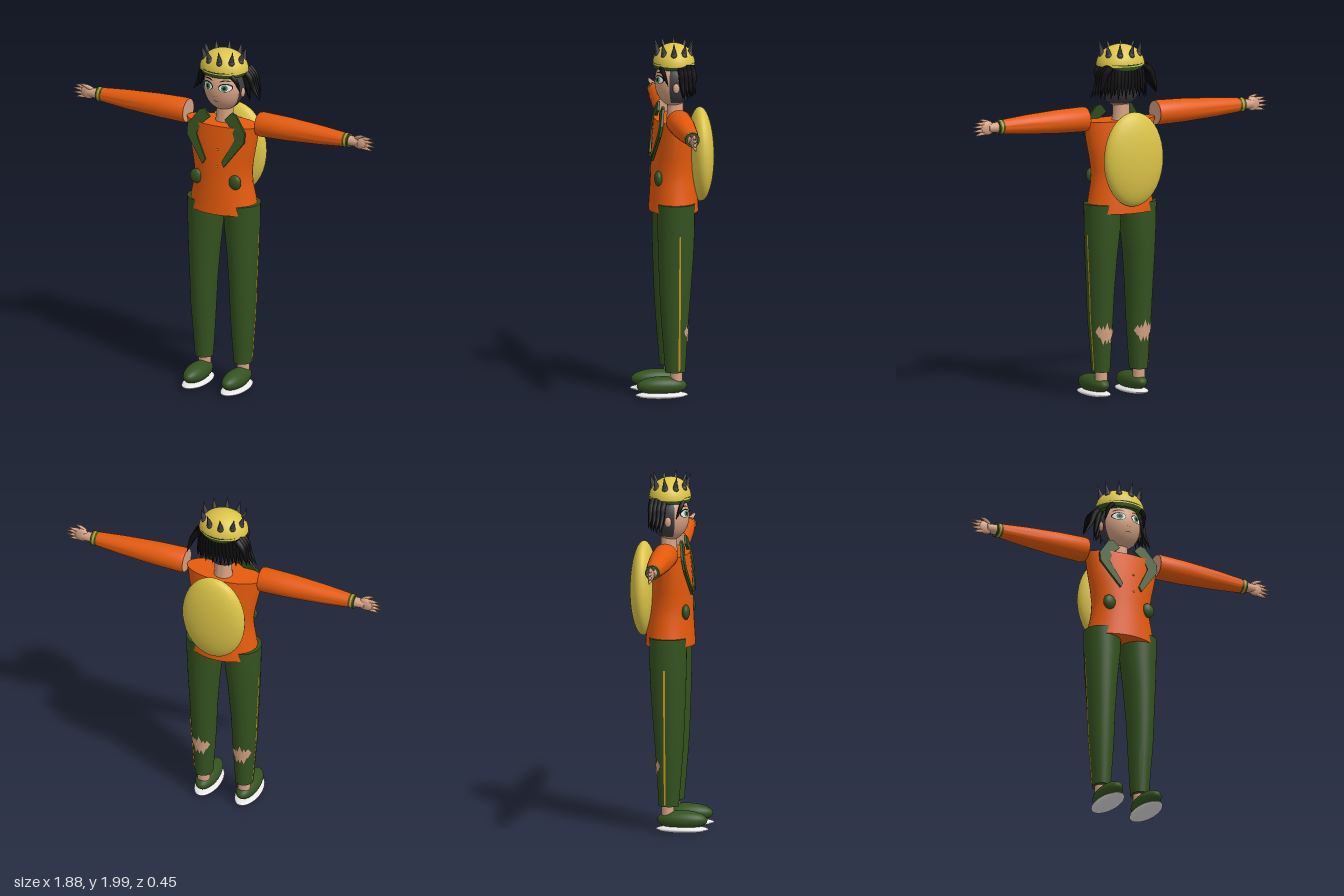
import * as THREE from 'three';
import { toCreasedNormals } from 'three/addons/utils/BufferGeometryUtils.js';

const mat = (name, color, side = THREE.FrontSide) => {
  const m = new THREE.MeshStandardMaterial({ color, side });
  m.name = name;
  return m;
};
const V = (x, y, z) => new THREE.Vector3(x, y, z);

// Interpolates sections of [y, centreX, centreZ, radiusX, radiusZ]
function sectionAt(sections, y) {
  let i = 0;
  while (i < sections.length - 2 && y > sections[i + 1][0]) i++;
  const a = sections[i], b = sections[i + 1];
  const t = THREE.MathUtils.clamp((y - a[0]) / (b[0] - a[0]), 0, 1);
  return a.map((v, k) => v + (b[k] - v) * t);
}

// Moves each vertex of a geometry by a rule
function warp(geo, rule) {
  const p = geo.attributes.position;
  for (let i = 0; i < p.count; i++) p.setXYZ(i, ...rule(p.getX(i), p.getY(i), p.getZ(i)));
  geo.computeVertexNormals();
  return geo;
}

// Closed elliptical body through the sections
function loft(sections) {
  const n = sections.length - 1;
  const geo = warp(new THREE.CylinderGeometry(1, 1, 1, 36, n), (x, y, z) => {
    const s = sections[Math.round((y + 0.5) * n)];
    return [s[1] + x * s[3], s[0], s[2] + z * s[4]];
  });
  return toCreasedNormals(geo, 0.8);
}

// Tube that narrows to a point
function lock(points, radius) {
  const curve = new THREE.CatmullRomCurve3(points), seg = 8, rad = 6;
  const geo = new THREE.TubeGeometry(curve, seg, radius, rad);
  const p = geo.attributes.position, v = V();
  for (let i = 0; i <= seg; i++) {
    const c = curve.getPointAt(i / seg), k = 1 - Math.pow(i / seg, 2) * 0.97;
    for (let j = 0; j <= rad; j++) {
      const id = i * (rad + 1) + j;
      v.fromBufferAttribute(p, id).sub(c).multiplyScalar(k).add(c);
      p.setXYZ(id, v.x, v.y, v.z);
    }
  }
  return geo;
}

export function createModel() {
  const D = THREE.DoubleSide;
  const orange = mat('jacketOrange', 0xe55a0c), green = mat('clothGreen', 0x34521f, D);
  const yellow = mat('shellYellow', 0xdcc548), black = mat('hairBlack', 0x0d0d0f, D);
  const grey = mat('spikeGrey', 0x3c3c42, D), skin = mat('skin', 0xd5a283, D);
  const white = mat('white', 0xececec), gold = mat('trimGold', 0xc9981c, D);
  const iris = mat('irisGreen', 0x47805a);

  const model = new THREE.Group();
  model.name = 'figure';
  const add = (parent, name, geo, m, x = 0, y = 0, z = 0) => {
    const mesh = new THREE.Mesh(geo, m);
    mesh.name = name;
    mesh.position.set(x, y, z);
    parent.add(mesh);
    return mesh;
  };
  const ball = (parent, name, m, pos, size) => {
    const mesh = add(parent, name, new THREE.SphereGeometry(1, 32, 20), m, ...pos);
    mesh.scale.set(...size);
    return mesh;
  };

  // Jacket, neck and shell on the back
  add(model, 'jacket', loft([
    [1.04, 0, 0, 0.203, 0.138], [1.1, 0, 0, 0.193, 0.134], [1.2, 0, 0.003, 0.173, 0.125],
    [1.27, 0, 0.005, 0.17, 0.12], [1.35, 0, 0.008, 0.183, 0.115], [1.45, 0, 0.01, 0.205, 0.107],
    [1.55, 0, 0.01, 0.22, 0.095]]), orange);
  add(model, 'neck', loft([[1.52, 0, -0.01, 0.058, 0.052], [1.58, 0, -0.01, 0.048, 0.045],
    [1.68, 0, -0.01, 0.048, 0.045]]), skin);
  ball(model, 'shell', yellow, [0, 1.345, -0.15], [0.184, 0.263, 0.074]);
  for (const y of [1.2, 1.32, 1.42]) ball(model, 'button', gold, [0.02, y, 0.121], [0.006, 0.006, 0.005]);

  const lapel = new THREE.Shape([[0.114, 1.62], [0.177, 1.53], [0.177, 1.475], [0.066, 1.326],
    [0.05, 1.353], [0.119, 1.485], [0.093, 1.544], [0.045, 1.586], [0.085, 1.63]]
    .map(([x, y]) => new THREE.Vector2(x, y)));
  const legSections = [
    [0.15, 0.12, 0.005, 0.05, 0.056], [0.3, 0.12, 0.007, 0.06, 0.066], [0.45, 0.122, 0.008, 0.07, 0.077],
    [0.6, 0.122, 0.006, 0.075, 0.087], [0.8, 0.119, 0.002, 0.088, 0.098],
    [0.95, 0.113, 0, 0.1, 0.103], [1.09, 0.111, 0, 0.105, 0.104]];

  for (const s of [1, -1]) {
    const side = new THREE.Group();
    side.name = s > 0 ? 'leftSide' : 'rightSide';
    side.scale.x = s;
    model.add(side);

    // Lapel and pocket
    const lapelGeo = new THREE.ExtrudeGeometry(lapel, { depth: 0.014, bevelEnabled: false });
    add(side, 'lapel', toCreasedNormals(warp(lapelGeo,
      (x, y, z) => [x, y, z + 0.119 - 0.19 * (y - 1.33)]), 0.5), green);
    ball(side, 'pocket', green, [0.12, 1.235, 0.1], [0.037, 0.042, 0.022]);

    // Trouser leg with stripe and torn patches
    add(side, 'trouserLeg', loft(legSections), green);
    add(side, 'sideStripe', warp(new THREE.PlaneGeometry(0.01, 0.76, 1, 20), (x, y) => {
      const q = sectionAt(legSections, y + 0.54);
      return [q[1] + q[3] + 0.002, y + 0.54, -0.01 - x];
    }), gold);
    [[-0.65, 0.38, 0.035], [-0.33, 0.36, 0.055], [0, 0.37, 0.062], [0.33, 0.355, 0.05], [0.62, 0.37, 0.03]]
      .forEach(([a, cy, h]) => add(side, 'tornPatch', warp(new THREE.CircleGeometry(1, 4), (u, v) => {
        const y = cy + v * h, q = sectionAt(legSections, y), t = a + u * 0.3;
        return [q[1] - Math.sin(t) * (q[3] + 0.004), y, q[2] - Math.cos(t) * (q[4] + 0.004)];
      }), skin));

    // Ankle and shoe
    add(side, 'ankle', new THREE.CylinderGeometry(0.035, 0.035, 0.1, 20), skin, 0.12, 0.12, 0);
    ball(side, 'shoe', green, [0.12, 0.074, 0.08], [0.06, 0.052, 0.14]);
    ball(side, 'sole', white, [0.12, 0.022, 0.08], [0.068, 0.021, 0.146]);

    // Arm, built upright and laid along x
    const arm = new THREE.Group();
    arm.name = 'arm';
    arm.position.y = 1.567;
    side.add(arm);
    add(arm, 'sleeve', loft([[0.222, 0, 0, 0.066, 0.068], [0.235, 0, 0, 0.069, 0.072],
      [0.4, 0, 0, 0.065, 0.067], [0.6, 0, 0, 0.053, 0.054], [0.765, 0, 0, 0.038, 0.038]])
      .rotateZ(-Math.PI / 2), orange);
    add(arm, 'armhole', new THREE.CircleGeometry(0.064, 32).rotateY(-Math.PI / 2), skin, 0.22);
    [[0.755, green], [0.766, gold], [0.777, green]].forEach(([x, m]) =>
      add(arm, 'cuffBand', new THREE.CylinderGeometry(0.04, 0.04, 0.011, 28).rotateZ(Math.PI / 2), m, x));

    // Hand with fanned fingers
    add(arm, 'wrist', new THREE.CylinderGeometry(0.024, 0.03, 0.07, 16).rotateZ(-Math.PI / 2), skin, 0.805);
    ball(arm, 'palm', skin, [0.844, 0, 0], [0.044, 0.039, 0.018]);
    [[-0.026, -0.042, 0.92], [-0.009, -0.016, 0.938], [0.009, 0.01, 0.94], [0.025, 0.032, 0.925]]
      .forEach(([y0, y1, x]) => add(arm, 'finger',
        lock([V(0.86, y0, 0), V(0.9, (y0 + y1) / 2, 0), V(x, y1, 0)], 0.011), skin));
    add(arm, 'thumb', lock([V(0.825, 0.025, 0.005), V(0.855, 0.04, 0.015), V(0.89, 0.046, 0.018)], 0.012), skin);
  }

  // Head, skull cap and ears
  const head = new THREE.Group();
  head.name = 'head';
  model.add(head);
  const HY = 1.755, HX = 0.114, HH = 0.137, HZ = 0.103;
  ball(head, 'face', skin, [0, HY, 0], [HX, HH, HZ]);
  add(head, 'skullCap', new THREE.SphereGeometry(1, 32, 20, Math.PI - 0.35, Math.PI + 0.7, 0, 2.5), grey, 0, HY, 0)
    .scale.set(HX + 0.005, HH, HZ + 0.004);

  // Flat face details wrapped over the head surface
  const onFace = (name, m, cx, cy, rx, ry, lift, bend = 0) =>
    add(head, name, warp(new THREE.RingGeometry(0.001, 1, 24, 4), (u, v) => {
      const x = cx + u * rx, y = cy + v * ry - bend * u * u;
      const k = 1 - (x / HX) ** 2 - ((y - HY) / HH) ** 2;
      return [x, y, HZ * Math.sqrt(Math.max(k, 0)) + lift];
    }), m);
  for (const s of [1, -1]) {
    ball(head, 'ear', skin, [s * 0.117, 1.735, 0.0], [0.012, 0.028, 0.018]);
    onFace('eyeOutline', black, s * 0.053, 1.777, 0.037, 0.024, 0.001);
    onFace('eyeWhite', white, s * 0.053, 1.775, 0.033, 0.02, 0.0025);
    onFace('iris', iris, s * 0.051, 1.775, 0.017, 0.018, 0.004);
    onFace('pupil', black, s * 0.051, 1.775, 0.008, 0.009, 0.0055);
    onFace('eyebrow', black, s * 0.052, 1.816, 0.03, 0.0035, 0.002, 0.008);
    onFace('nostril', grey, s * 0.008, 1.722, 0.003, 0.002, 0.002);
    // Loose locks beside the face
    add(head, 'frontLock', lock([V(s * 0.085, 1.85, 0.08), V(s * 0.11, 1.82, 0.07), V(s * 0.122, 1.75, 0.045)], 0.014), black);
    for (let i = 0; i < 4; i++) {
      const z = -0.02 - i * 0.022;
      add(head, 'sideLock', lock([V(s * 0.11, 1.855, z), V(s * 0.145, 1.82, z - 0.005),
        V(s * 0.165, 1.76, z - 0.008), V(s * (0.208 - i * 0.01), 1.685 + i * 0.008, z - 0.015)], 0.019), black);
    }
  }
  onFace('mouth', grey, 0, 1.692, 0.018, 0.002, 0.002);

  // Hair hanging around the back
  for (let i = 0; i <= 18; i++) {
    const a = 0.1 + (i / 18) * (Math.PI - 0.2), c = Math.cos(a), n = Math.sin(a);
    add(head, 'backLock', lock([V(0.11 * c, 1.86, -0.02 - 0.075 * n), V(0.128 * c, 1.78, -0.02 - 0.085 * n),
      V(0.145 * c, 1.675 + 0.02 * (i % 2), -0.025 - 0.085 * n)], 0.018), black);
  }

  // Helmet with rim and spikes
  const helmet = new THREE.Group();
  helmet.name = 'helmet';
  helmet.position.set(0, 1.855, -0.003);
  head.add(helmet);
  add(helmet, 'dome', new THREE.SphereGeometry(1, 36, 16, 0, Math.PI * 2, 0, Math.PI / 2), yellow)
    .scale.set(0.14, 0.115, 0.117);
  add(helmet, 'rim', loft([[-0.02, 0, 0, 0.127, 0.112], [0.012, 0, 0, 0.138, 0.118]]), green);
  for (let i = 0; i < 10; i++) {
    const a = (i / 10) * Math.PI * 2 + 0.15, c = Math.cos(a), n = Math.sin(a);
    const spike = add(helmet, 'spike', new THREE.ConeGeometry(0.018, 0.085, 10), grey, 0.119 * c, 0.096, 0.1 * n);
    spike.quaternion.setFromUnitVectors(V(0, 1, 0), V(0.3 * c, 1, 0.3 * n).normalize());
    ball(helmet, 'spikeBase', grey, [0.109 * c, 0.06, 0.092 * n], [0.018, 0.018, 0.018]);
  }
  return model;
}
